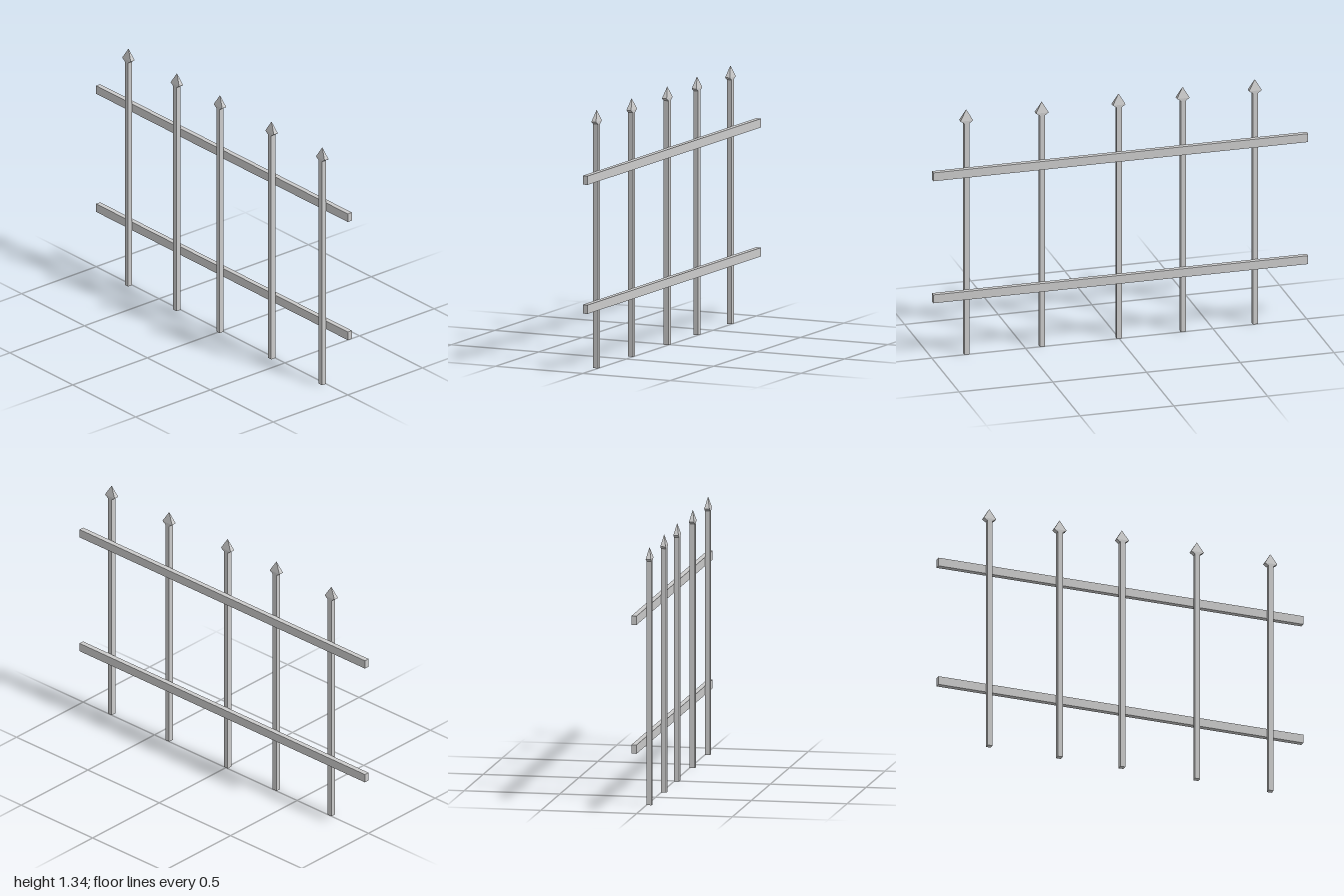
import * as THREE from 'three';

const material = new THREE.MeshStandardMaterial({ color: 0xcccccc, flatShading: true });

function box(name, w, h, d, x, y, z) {
  const mesh = new THREE.Mesh(new THREE.BoxGeometry(w, h, d), material);
  mesh.name = name;
  mesh.position.set(x, y, z);
  return mesh;
}

// Four-sided frustum with rectangular ends, base at y = 0
function taper(name, w, h, bottomDepth, topWidth, topDepth) {
  const geometry = new THREE.BoxGeometry(1, h, 1).translate(0, h / 2, 0);
  const p = geometry.attributes.position;
  for (let i = 0; i < p.count; i++) {
    const top = p.getY(i) > h / 2;
    p.setX(i, p.getX(i) * (top ? topWidth : w));
    p.setZ(i, p.getZ(i) * (top ? topDepth : bottomDepth));
  }
  geometry.computeVertexNormals();
  const mesh = new THREE.Mesh(geometry, material);
  mesh.name = name;
  return mesh;
}

export function createModel() {
  const model = new THREE.Group();
  model.name = 'fence';
  const t = 0.027;          // bar thickness
  const neck = 1.268, shoulder = 1.282, tip = 1.34;

  // Two horizontal rails along z
  for (const [name, y] of [['lowerRail', 0.334], ['upperRail', 1.004]]) {
    model.add(box(name, t, 0.046, 2, t / 2, y, 0));
  }

  // Unevenly spaced pickets with spear heads
  for (const z of [0.813, 0.41, 0, -0.342, -0.727]) {
    const picket = new THREE.Group();
    picket.name = 'picket';
    picket.position.set(-t / 2, 0, z);
    picket.add(box('shaft', t, neck, t, 0, neck / 2, 0));
    const flare = taper('spearFlare', t, shoulder - neck, t, t, 0.068);
    flare.position.y = neck;
    const point = taper('spearPoint', t, tip - shoulder, 0.068, 0.0005, 0.0005);
    point.position.y = shoulder;
    picket.add(flare, point);
    model.add(picket);
  }
  return model;
}
